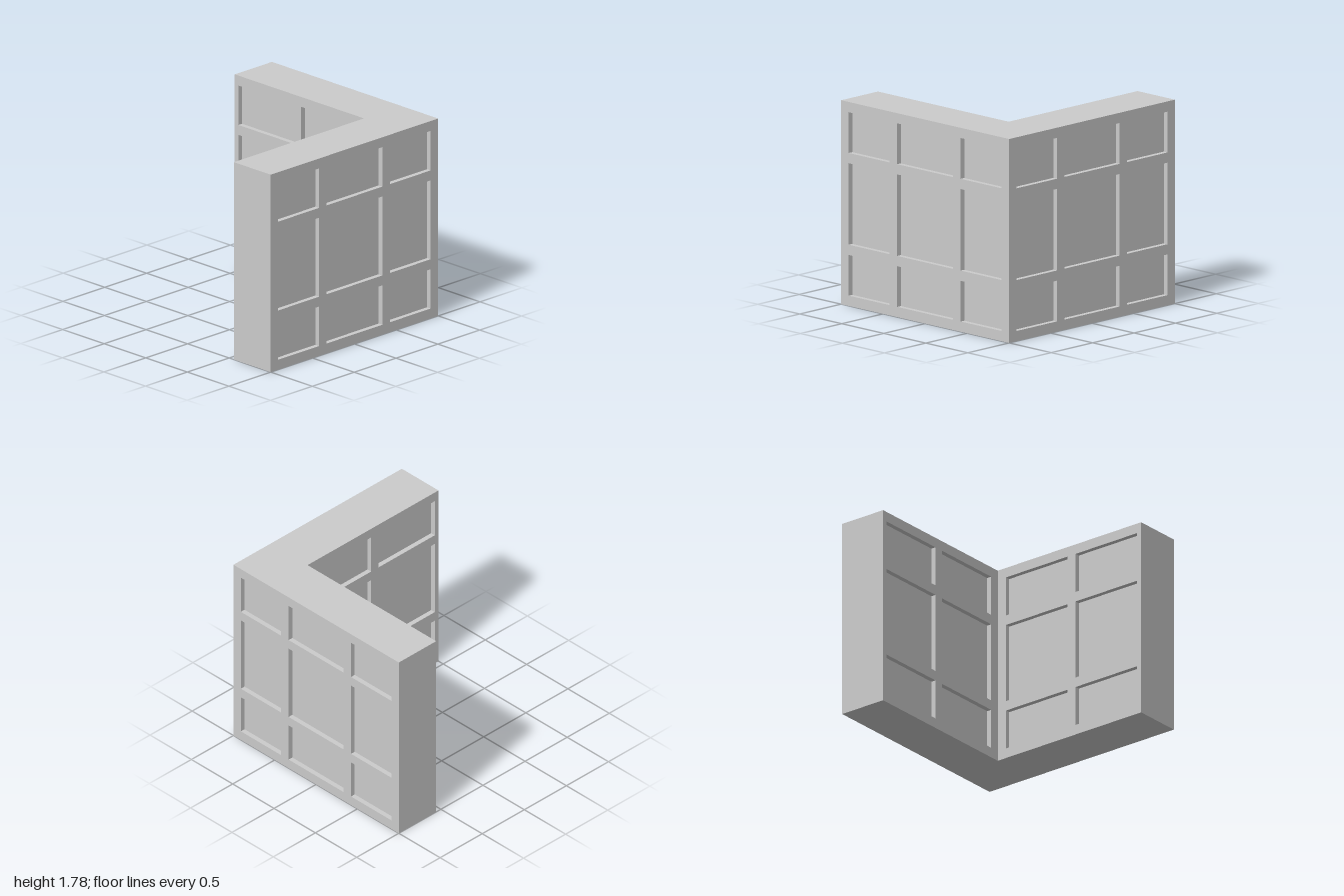
import * as THREE from 'three';

const H = 1.778;      // wall height
const INNER = 0.556;  // where the inner faces lie
const DEPTH = 0.044;  // panel recess depth
const ROWS = [[0.089, 0.444], [0.533, 1.244], [1.333, 1.689]];
const OUTER_COLUMNS = [[-0.911, -0.422], [-0.333, 0.333], [0.422, 0.911]];
const INNER_COLUMNS = [[-0.956, -0.289], [-0.2, 0.467]];

const material = new THREE.MeshStandardMaterial({ color: 0xcccccc });

function addMesh(parent, name, geometry) {
  const mesh = new THREE.Mesh(geometry, material);
  mesh.name = name;
  parent.add(mesh);
  return mesh;
}

function rectPoints(u0, u1, v0, v1) {
  return [[u0, v0], [u1, v0], [u1, v1], [u0, v1]].map(([u, v]) => new THREE.Vector2(u, v));
}

// Box turned inside out and open towards +z
function recessGeometry(w, h) {
  const box = new THREE.BoxGeometry(w, h, DEPTH).scale(-1, 1, 1);
  box.setIndex([...box.index.array].filter((_, i) => i < 24 || i >= 30));
  box.clearGroups();
  const open = box.toNonIndexed();
  open.computeVertexNormals();
  return open;
}

// Wall face in local u (x) and v (y), facing +z, with a grid of sunk panels
function wallFace(name, u0, u1, columns) {
  const group = new THREE.Group();
  group.name = name;
  const shape = new THREE.Shape(rectPoints(u0, u1, 0, H));
  for (const [a, b] of columns) {
    for (const [c, d] of ROWS) {
      shape.holes.push(new THREE.Path(rectPoints(a, b, c, d).reverse()));
      const panel = addMesh(group, 'sunkPanel', recessGeometry(b - a, d - c));
      panel.position.set((a + b) / 2, (c + d) / 2, -DEPTH / 2);
    }
  }
  addMesh(group, 'panelFrame', new THREE.ShapeGeometry(shape));
  return group;
}

export function createModel() {
  const model = new THREE.Group();
  model.name = 'cornerWall';

  // Outer faces
  const back = wallFace('backFace', -1, 1, OUTER_COLUMNS);
  back.rotation.y = Math.PI;
  back.position.z = -1;
  const side = wallFace('outerSideFace', -1, 1, OUTER_COLUMNS);
  side.rotation.y = Math.PI / 2;
  side.position.x = 1;

  // Inner faces, mirrored about the corner
  const innerFront = wallFace('innerFrontFace', -1, INNER, INNER_COLUMNS);
  innerFront.position.z = -INNER;
  const mirrored = INNER_COLUMNS.map(([a, b]) => [-b, -a]);
  const innerSide = wallFace('innerSideFace', -INNER, 1, mirrored);
  innerSide.rotation.y = -Math.PI / 2;
  innerSide.position.x = INNER;
  model.add(back, side, innerFront, innerSide);

  // Plain wall ends
  const t = 1 - INNER, mid = (1 + INNER) / 2;
  const frontEnd = addMesh(model, 'frontEnd', new THREE.PlaneGeometry(t, H));
  frontEnd.position.set(mid, H / 2, 1);
  const sideEnd = addMesh(model, 'sideEnd', new THREE.PlaneGeometry(t, H));
  sideEnd.rotation.y = -Math.PI / 2;
  sideEnd.position.set(-1, H / 2, -mid);

  // L-shaped top and underside; shape y becomes -z on top and +z below
  const outline = [[-1, 1], [-1, INNER], [INNER, INNER], [INNER, -1], [1, -1], [1, 1]];
  const cap = (sign) => new THREE.ShapeGeometry(
    new THREE.Shape(outline.map(([x, y]) => new THREE.Vector2(x, sign * y))));
  const top = addMesh(model, 'top', cap(1));
  top.rotation.x = -Math.PI / 2;
  top.position.y = H;
  addMesh(model, 'underside', cap(-1)).rotation.x = Math.PI / 2;

  return model;
}
